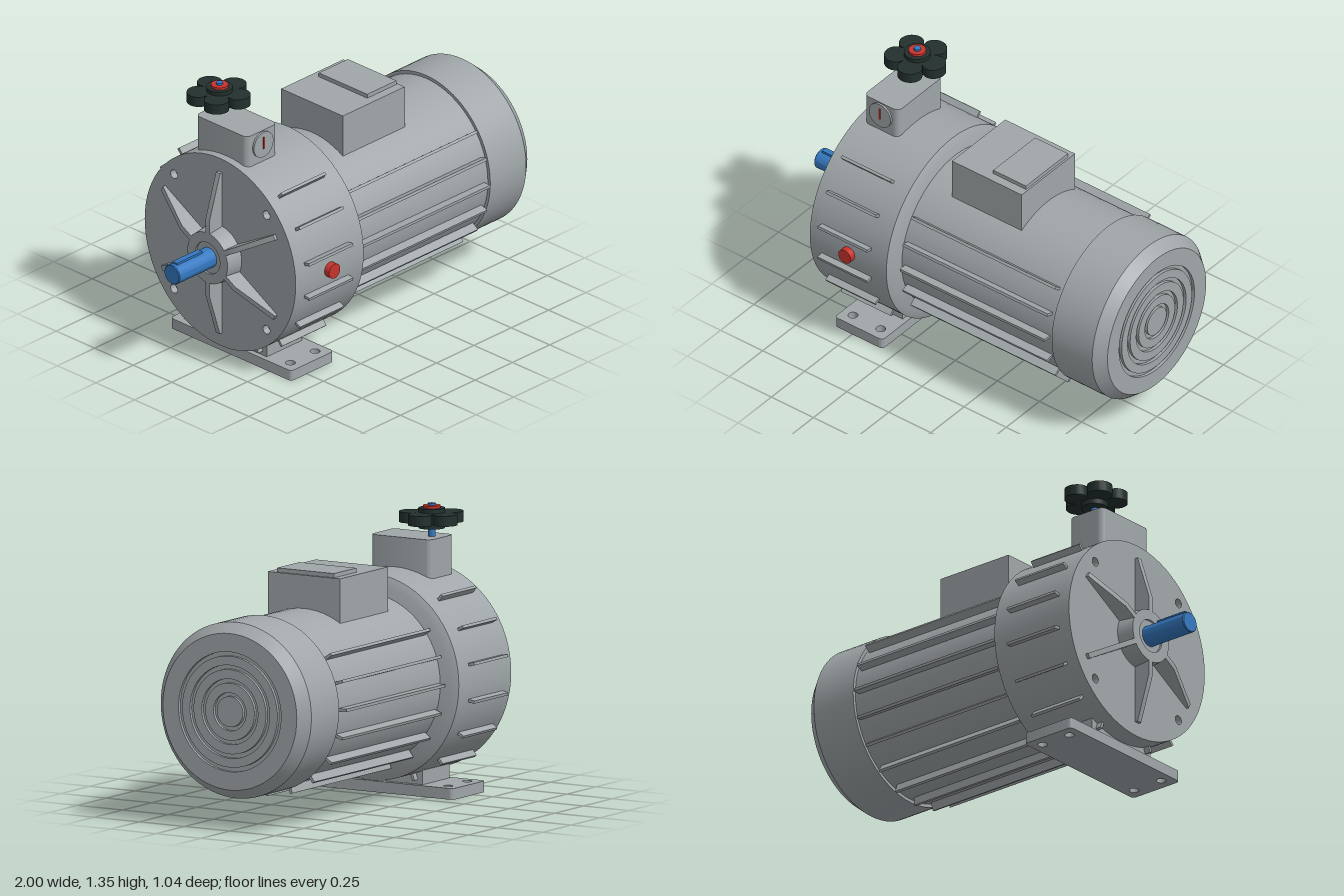
import * as THREE from 'three';
import { toCreasedNormals } from 'three/addons/utils/BufferGeometryUtils.js';

const AXIS = 0.563; // height of the shaft axis
const paint = (name, color) => {
  const m = new THREE.MeshStandardMaterial({ color });
  m.name = name;
  return m;
};
const crease = (g) => toCreasedNormals(g, 0.5);

// Solid of revolution about the x axis from [x, radius] points
function turned(points) {
  const g = new THREE.LatheGeometry(points.map(([x, r]) => new THREE.Vector2(r, x)), 72);
  g.rotateZ(-Math.PI / 2);
  return crease(g);
}

function extruded(shape, depth, curveSegments = 24) {
  return crease(new THREE.ExtrudeGeometry(shape, { depth, bevelEnabled: false, curveSegments }));
}

function addHole(shape, x, y, r) {
  shape.holes.push(new THREE.Path().absarc(x, y, r, 0, Math.PI * 2, true));
}

// Rounded rectangle in plan (x, -z)
function roundedRect(x0, x1, y0, y1, r) {
  const s = new THREE.Shape();
  s.absarc(x1 - r, y0 + r, r, -Math.PI / 2, 0);
  s.absarc(x1 - r, y1 - r, r, 0, Math.PI / 2);
  s.absarc(x0 + r, y1 - r, r, Math.PI / 2, Math.PI);
  s.absarc(x0 + r, y0 + r, r, Math.PI, Math.PI * 1.5);
  s.closePath();
  return s;
}

export function createModel() {
  const grey = paint('castGrey', 0xa0a6a9);
  const blue = paint('shaftBlue', 0x3478c0);
  const red = paint('markerRed', 0xc8332b);
  const dark = paint('knobDark', 0x22302e);
  const model = new THREE.Group();
  model.name = 'gearMotor';

  function add(name, geometry, material, x = 0, y = 0, z = 0, parent = model) {
    const mesh = new THREE.Mesh(geometry, material);
    mesh.name = name;
    mesh.position.set(x, y, z);
    parent.add(mesh);
    return mesh;
  }
  // Box given by its limits
  const box = (name, m, x0, x1, y0, y1, z0, z1) =>
    add(name, new THREE.BoxGeometry(x1 - x0, y1 - y0, z1 - z0), m,
      (x0 + x1) / 2, (y0 + y1) / 2, (z0 + z1) / 2);
  const disc = (r, h, sides = 32) => crease(new THREE.CylinderGeometry(r, r, h, sides));

  // Parts centred on the shaft axis
  const drive = new THREE.Group();
  drive.name = 'drive';
  drive.position.y = AXIS;
  model.add(drive);
  const onAxis = (name, g, m) => add(name, g, m, 0, 0, 0, drive);

  // Gear housing with a drilled face plate
  const face = new THREE.Shape().absarc(0, 0, 0.49, 0, Math.PI * 2);
  for (const sx of [-1, 1]) for (const sy of [-1, 1]) addHole(face, sx * 0.3, sy * 0.3, 0.022);
  const faceGeo = extruded(face, 0.035, 36);
  faceGeo.rotateY(-Math.PI / 2);
  faceGeo.translate(-0.64, 0, 0);
  onAxis('facePlate', faceGeo, grey);
  onAxis('gearHousing', turned([[-0.64, 0], [-0.64, 0.49], [-0.22, 0.49], [-0.2, 0.45], [-0.2, 0]]), grey);
  onAxis('motorBody', turned([[-0.21, 0], [-0.21, 0.4], [0.71, 0.4], [0.71, 0]]), grey);

  // Fan cover with concentric grooves in its end
  const cover = [[0.705, 0], [0.705, 0.416], [0.945, 0.416], [1, 0.37]];
  for (const [outer, inner] of [[0.283, 0.263], [0.22, 0.2], [0.155, 0.136], [0.09, 0.072]])
    cover.push([1, outer], [0.985, outer], [0.985, inner], [1, inner]);
  cover.push([1, 0]);
  onAxis('fanCover', turned(cover), grey);

  // Bearing hub and output shaft with key
  onAxis('hub', turned([[-0.75, 0], [-0.75, 0.08], [-0.76, 0.08], [-0.76, 0.13], [-0.67, 0.14], [-0.67, 0]]), grey);
  onAxis('shaft', turned([[-1, 0], [-1, 0.046], [-0.996, 0.05], [-0.74, 0.05], [-0.74, 0]]), blue);
  add('shaftKey', new THREE.BoxGeometry(0.17, 0.03, 0.03), blue, -0.895, 0.043, 0, drive);

  // Radial gussets on the face
  const gusset = new THREE.Shape([[-0.67, 0.1], [-0.67, 0.42], [-0.69, 0.42], [-0.76, 0.2], [-0.76, 0.1]]
    .map(([x, y]) => new THREE.Vector2(x, y)));
  const gussetGeo = extruded(gusset, 0.026);
  gussetGeo.translate(0, 0, -0.013);
  for (let i = 0; i < 6; i++) onAxis('gusset', gussetGeo, grey).rotation.x = i * Math.PI / 3;

  // Cooling fins, angles in degrees above the horizontal, mirrored front to back
  function fins(name, angles, x0, x1, r0, r1, thick) {
    const g = new THREE.BoxGeometry(x1 - x0, r1 - r0, thick);
    g.translate((x0 + x1) / 2, (r0 + r1) / 2, 0);
    for (const a of angles)
      for (const side of a === -90 ? [1] : [1, -1])
        onAxis(name, g, grey).rotation.x = side * THREE.MathUtils.degToRad(90 - a);
  }
  fins('housingFin', [50, 30, 10, -10, -30, -50, -70], -0.61, -0.315, 0.47, 0.522, 0.014);
  fins('motorFin', [36, 18, 0, -18, -36, -54, -72, -90], -0.18, 0.68, 0.38, 0.44, 0.014);

  // Terminal box and lid
  box('terminalBox', grey, -0.06, 0.355, 0.9, 1.12, -0.2, 0.2);
  box('terminalLid', grey, 0.15, 0.345, 1.115, 1.14, -0.16, 0.155);

  // Foot plate with bolt holes, and its two pedestals
  const plate = roundedRect(-0.605, -0.32, -0.393, 0.393, 0.02);
  for (const x of [-0.545, -0.38]) for (const y of [-0.33, 0.33]) addHole(plate, x, y, 0.023);
  const plateGeo = extruded(plate, 0.053);
  plateGeo.rotateX(-Math.PI / 2);
  add('footPlate', plateGeo, grey);
  box('pedestal', grey, -0.58, -0.345, 0.05, 0.16, 0.005, 0.21);
  box('pedestal', grey, -0.58, -0.345, 0.05, 0.16, -0.21, -0.005);

  // Oil plug
  add('oilPlug', disc(0.037, 0.06), red, -0.445, AXIS, 0.49).rotation.x = Math.PI / 2;

  // Adjuster block with dial and pointer
  const blockGeo = extruded(roundedRect(-0.635, -0.43, -0.135, 0.2, 0.03), 0.235);
  blockGeo.rotateX(-Math.PI / 2);
  add('adjusterBlock', blockGeo, grey, 0, 0.96, 0);
  add('dial', disc(0.065, 0.02), grey, -0.533, 1.125, 0.135).rotation.x = Math.PI / 2;
  box('dialPointer', red, -0.537, -0.529, 1.105, 1.165, 0.144, 0.149);

  // Five-lobed handwheel on its spindle
  const wheel = new THREE.Group();
  wheel.name = 'handwheel';
  wheel.position.set(-0.535, 0, -0.14);
  model.add(wheel);
  const lobes = [];
  for (let i = 0; i < 120; i++) {
    const t = i / 120 * Math.PI * 2;
    const r = 0.08 + 0.075 * Math.sqrt(Math.abs(Math.cos(2.5 * t)));
    lobes.push(new THREE.Vector2(r * Math.cos(t), r * Math.sin(t)));
  }
  const lobeGeo = extruded(new THREE.Shape(lobes), 0.05);
  lobeGeo.rotateX(-Math.PI / 2);
  add('lobes', lobeGeo, dark, 0, 1.26, 0, wheel);
  add('wheelHub', disc(0.062, 0.095), dark, 0, 1.2825, 0, wheel);
  add('washer', disc(0.041, 0.014), red, 0, 1.335, 0, wheel);
  add('spindle', disc(0.017, 0.172, 20), blue, 0, 1.266, 0, wheel);

  return model;
}
